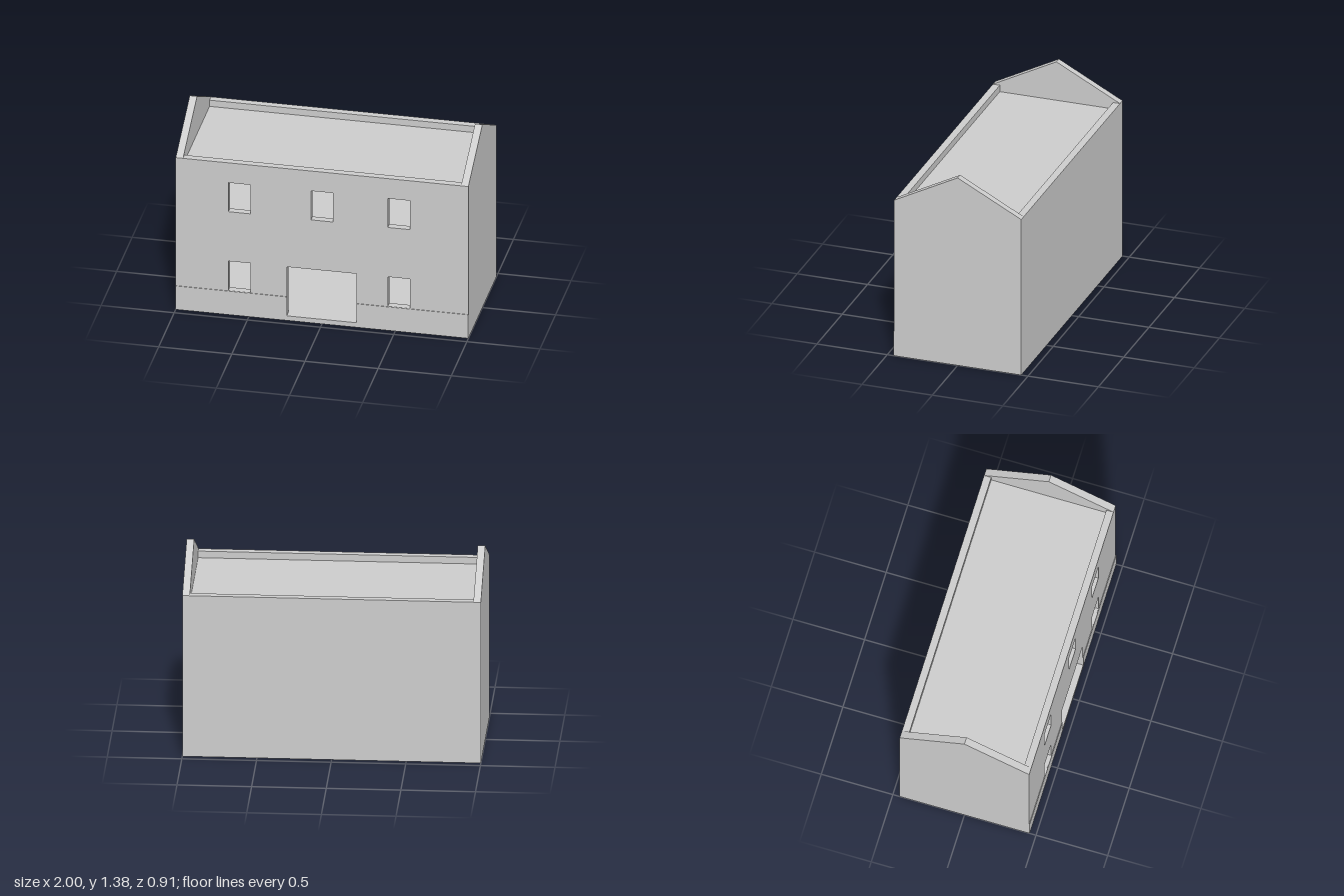
import * as THREE from 'three';

const W = 2, EAVE = 1.147, RIDGE = 1.383, T = 0.05, Z = 0.452;

export function createModel() {
  const house = new THREE.Group();
  house.name = 'house';
  const material = new THREE.MeshStandardMaterial({ color: 0xcccccc, flatShading: true });

  const add = (name, geometry, x = 0, y = 0, z = 0) => {
    const mesh = new THREE.Mesh(geometry, material);
    mesh.name = name;
    mesh.position.set(x, y, z);
    house.add(mesh);
    return mesh;
  };
  const polygon = (points) => new THREE.Shape(points.map(([x, y]) => new THREE.Vector2(x, y)));
  const rect = (x0, y0, x1, y1) => [[x0, y0], [x1, y0], [x1, y1], [x0, y1]];
  const extrude = (shape, depth) => new THREE.ExtrudeGeometry(shape, { depth, bevelEnabled: false });

  // Front wall with five windows and a wide doorway
  const innerX = W / 2 - T;
  const front = polygon(rect(-innerX, 0, innerX, EAVE));
  const openings = [[-0.24, 0.037, 0.237, 0.405]];
  for (const x of [-0.64, 0.45]) openings.push([x, 0.182, x + 0.15, 0.405]);
  for (const x of [-0.64, -0.075, 0.45]) openings.push([x, 0.778, x + 0.15, 0.997]);
  for (const o of openings) front.holes.push(polygon(rect(...o).reverse()));
  add('frontWall', extrude(front, T), 0, 0, Z - T);

  // Shallow plinth, notched around the doorway
  const plinth = polygon([
    [-1, 0.004], [1, 0.004], [1, 0.18], [0.237, 0.18],
    [0.237, 0.037], [-0.24, 0.037], [-0.24, 0.18], [-1, 0.18],
  ]);
  add('plinth', extrude(plinth, 0.004), 0, 0, Z);

  // Plain back wall
  add('backWall', new THREE.BoxGeometry(innerX * 2, EAVE, T), 0, EAVE / 2, -Z + T / 2);

  // Gable end walls rising above the eaves
  const gable = polygon([[-Z, 0], [Z, 0], [Z, EAVE], [0, RIDGE], [-Z, EAVE]]);
  for (const [name, x] of [['leftGable', innerX], ['rightGable', -W / 2]]) {
    add(name, extrude(gable, T).rotateY(Math.PI / 2), x);
  }

  // Floor slabs inside: ground, upper storey and attic
  const slabs = [['groundFloor', 0, 0.037], ['upperFloor', 0.53, 0.572], ['atticFloor', 1.055, 1.1]];
  for (const [name, y0, y1] of slabs) {
    add(name, new THREE.BoxGeometry(innerX * 2, y1 - y0, (Z - T) * 2), 0, (y0 + y1) / 2);
  }

  return house;
}
